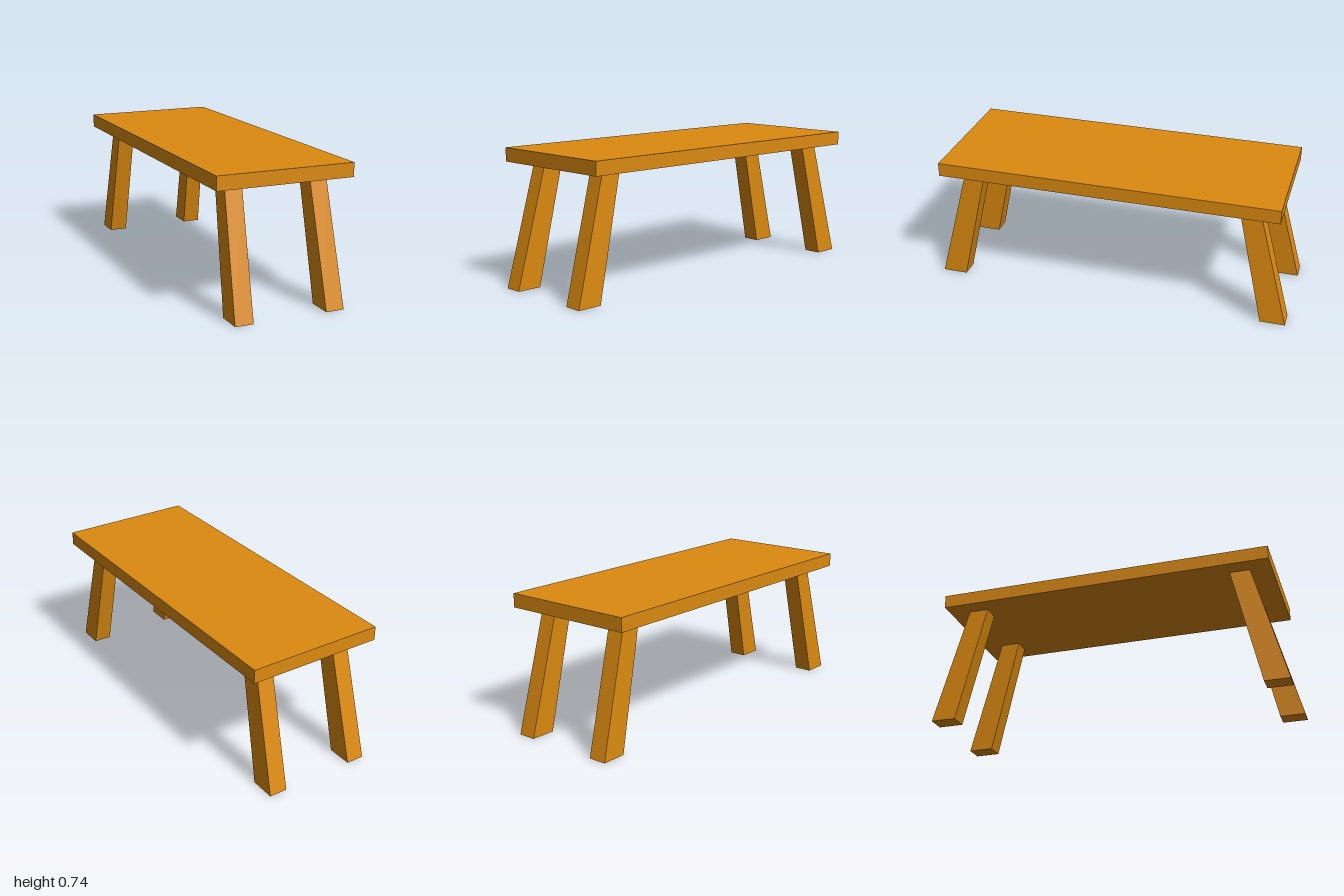
import * as THREE from 'three';

const TOP_Y = 0.742, UNDER_Y = 0.667;
// Leg cross-sections (x and z ranges) at the floor and under the top
const FOOT = { x: [0.203, 0.303], z: [0.862, 1.0] };
const HEAD = { x: [0.188, 0.282], z: [0.71, 0.822] };

// Splayed, tapered leg: a unit box whose corners move to the two cross-sections
function legGeometry(sx, sz) {
  const geo = new THREE.BoxGeometry(1, 1, 1).toNonIndexed();
  const pos = geo.attributes.position;
  for (let i = 0; i < pos.count; i++) {
    const end = pos.getY(i) > 0 ? HEAD : FOOT;
    const x = end.x[pos.getX(i) * sx > 0 ? 1 : 0] * sx;
    const z = end.z[pos.getZ(i) * sz > 0 ? 1 : 0] * sz;
    pos.setXYZ(i, x, pos.getY(i) > 0 ? UNDER_Y : 0, z);
  }
  geo.computeVertexNormals();
  return geo;
}

export function createModel() {
  const group = new THREE.Group();
  group.name = 'table';
  const wood = new THREE.MeshStandardMaterial({ color: 0xdb8a10, flatShading: true });

  // Table top
  const top = new THREE.Mesh(new THREE.BoxGeometry(0.75, TOP_Y - UNDER_Y, 1.876), wood);
  top.position.y = (TOP_Y + UNDER_Y) / 2;
  top.name = 'tableTop';
  group.add(top);

  // Four mirrored legs
  for (const sz of [1, -1]) {
    for (const sx of [1, -1]) {
      const leg = new THREE.Mesh(legGeometry(sx, sz), wood);
      leg.name = (sz > 0 ? 'front' : 'back') + (sx > 0 ? 'Left' : 'Right') + 'Leg';
      group.add(leg);
    }
  }
  return group;
}
